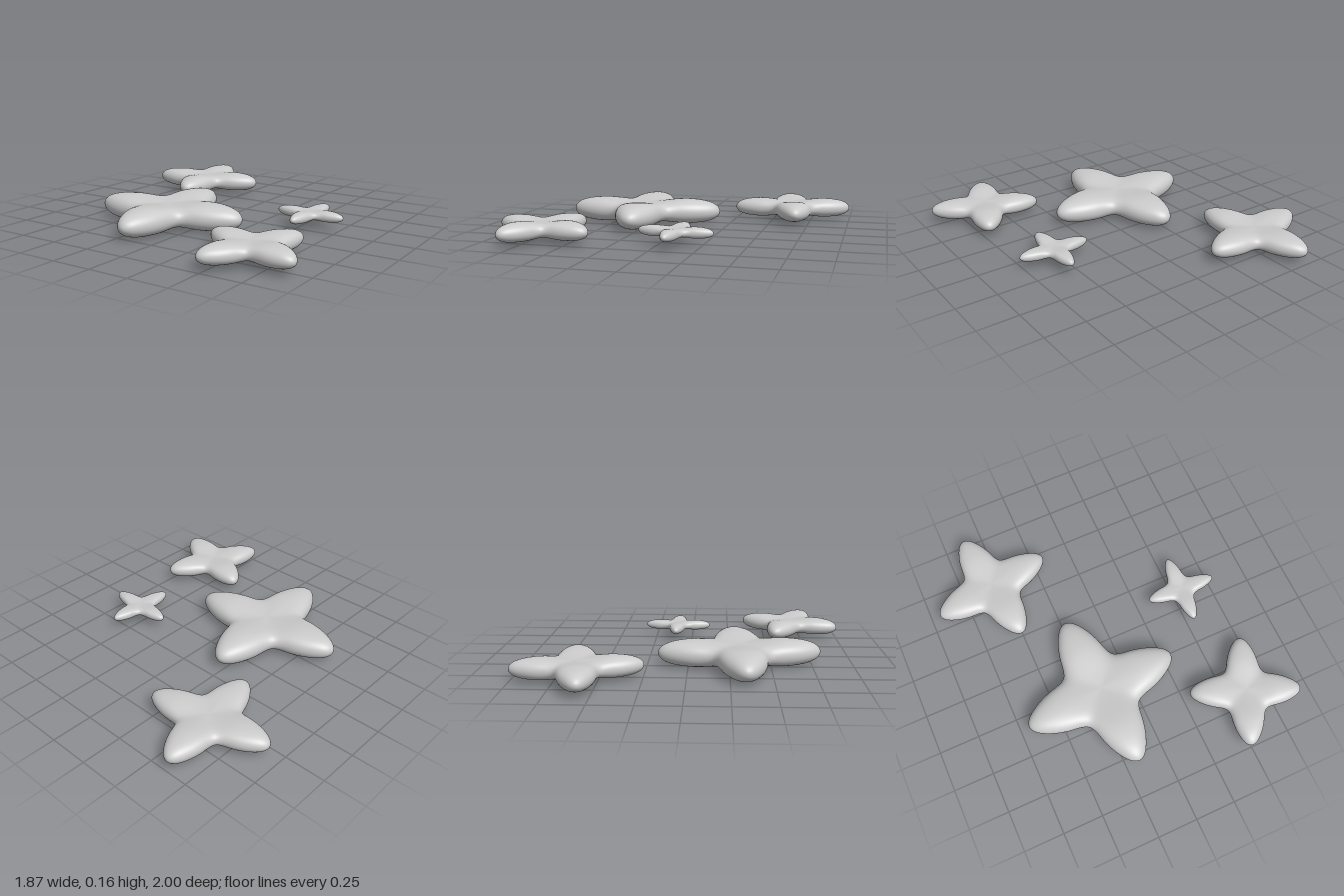
import * as THREE from 'three';

const material = new THREE.MeshStandardMaterial({ color: 0xcccccc });

// Closed four-armed outline of unit radius; slim narrows the arms, valley sets the inner corner.
function outline(slim, valley) {
  const side = [[0.975, 0.07], [0.9, 0.14], [0.75, 0.22], [0.6, 0.27], [0.43, 0.308]]
    .map(([u, v]) => [u, v * slim]);
  const arm = [
    ...side.slice().reverse().map(([u, v]) => [u, -v]),
    [1, 0], ...side, [valley, valley],
  ];
  const points = [];
  for (let k = 0; k < 4; k++) {
    const c = Math.round(Math.cos(k * Math.PI / 2)), s = Math.round(Math.sin(k * Math.PI / 2));
    for (const [u, v] of arm) points.push(new THREE.Vector3(u * c - v * s, 0, u * s + v * c));
  }
  return new THREE.CatmullRomCurve3(points, true, 'centripetal');
}

// Puffy star: rings swell from the top centre over the rim to the bottom centre.
function starGeometry(slim, valley, half) {
  const around = 144, rings = 44;
  const rim = outline(slim, valley).getPoints(around);
  const position = [], index = [];
  for (let j = 0; j <= rings; j++) {
    const a = Math.PI * j / rings;
    const s = Math.min(1, Math.sin(a));
    const cap = Math.sqrt(Math.max(0, 1 - s ** 6)) * Math.sign(Math.cos(a));
    for (let i = 0; i < around; i++) {
      const x = rim[i].x * s, z = rim[i].z * s;
      // the arms rise from a shallow dip in the middle
      const ridge = Math.cos(2 * Math.atan2(z, x)) ** 2;
      const rise = THREE.MathUtils.smoothstep(Math.hypot(x, z), 0, 0.6);
      const y = half * (0.7 + 0.34 * rise * (0.4 + 0.6 * ridge)) * cap;
      position.push(x, y, z);
      if (j < rings) {
        const p = j * around + i, q = j * around + (i + 1) % around;
        index.push(p, q, p + around, q, q + around, p + around);
      }
    }
  }
  const geometry = new THREE.BufferGeometry();
  geometry.setAttribute('position', new THREE.Float32BufferAttribute(position, 3));
  geometry.setIndex(index);
  geometry.computeVertexNormals();
  return geometry;
}

export function createModel() {
  const group = new THREE.Group();
  group.name = 'sparkles';
  const plump = starGeometry(1, 0.35, 0.155);
  const slender = starGeometry(0.78, 0.3, 0.138);

  // name, geometry, x, z, radius, turn in degrees
  const stars = [
    ['largeStar', plump, -0.2, 0.31, 0.495, 4],
    ['backStar', plump, -0.56, -0.62, 0.382, 9],
    ['frontStar', plump, 0.61, 0.68, 0.342, -21.5],
    ['smallStar', slender, 0.55, -0.1, 0.222, -2.5],
  ];
  for (const [name, geometry, x, z, radius, turn] of stars) {
    const star = new THREE.Mesh(geometry, material);
    star.name = name;
    star.position.set(x, 0.083, z);
    star.scale.setScalar(radius);
    star.rotation.y = THREE.MathUtils.degToRad(turn);
    group.add(star);
  }
  return group;
}
